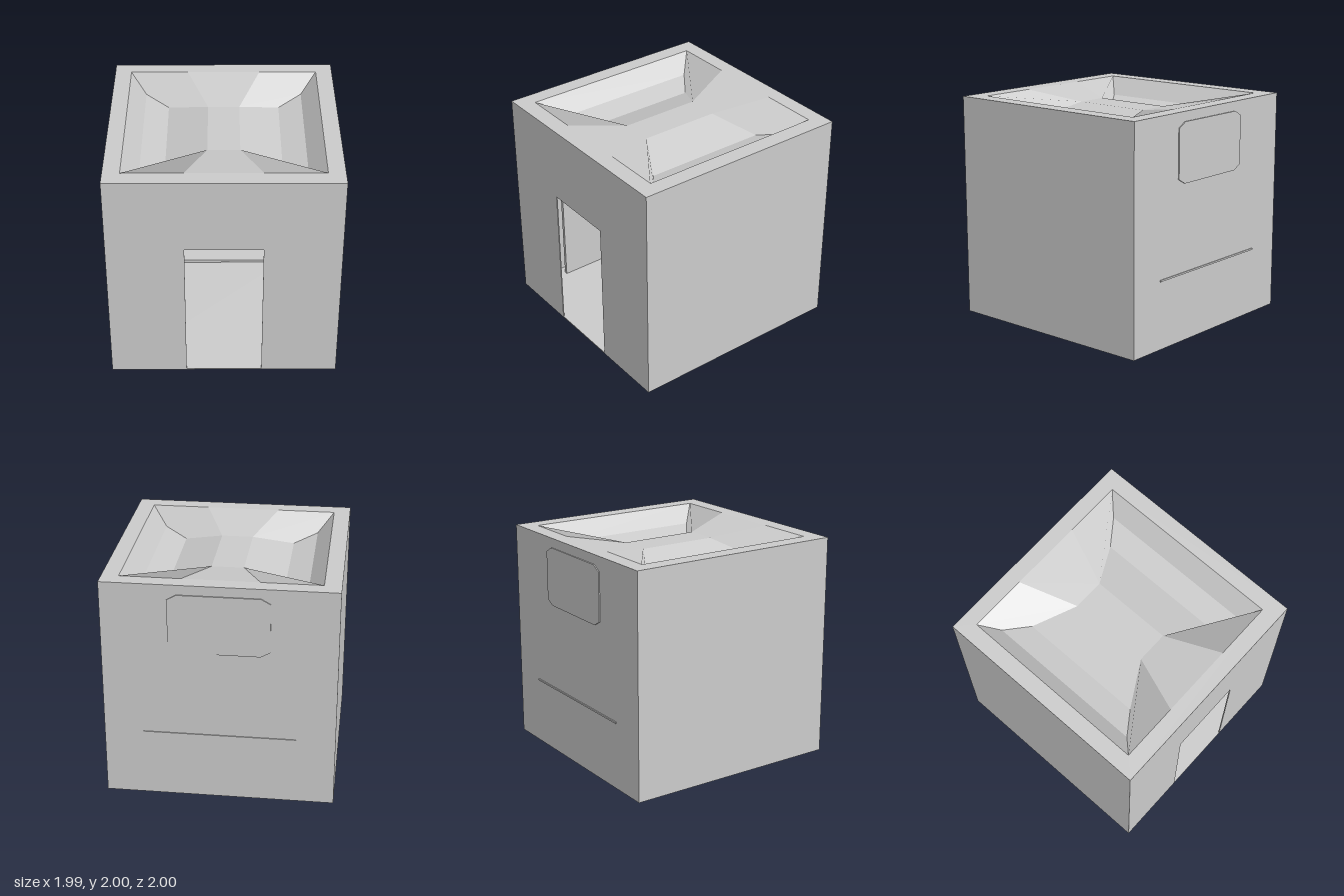
import * as THREE from 'three';

const mat = new THREE.MeshStandardMaterial({ color: 0xcccccc, flatShading: false });

function add(parent, name, geometry, x = 0, y = 0, z = 0) {
  const mesh = new THREE.Mesh(geometry, mat);
  mesh.name = name;
  mesh.position.set(x, y, z);
  parent.add(mesh);
  return mesh;
}

// Box given by its limits
function block(parent, name, [x0, x1], [y0, y1], [z0, z1]) {
  return add(parent, name, new THREE.BoxGeometry(x1 - x0, y1 - y0, z1 - z0),
    (x0 + x1) / 2, (y0 + y1) / 2, (z0 + z1) / 2);
}

function outline(points) {
  return new THREE.Shape(points.map(([x, y]) => new THREE.Vector2(x, y)));
}

function plate(shape, depth) {
  return new THREE.ExtrudeGeometry(shape, { depth, bevelEnabled: false, curveSegments: 10 });
}

// Upward-facing faceted surface; each facet is fanned from its first corner
function facets(polygons) {
  const position = [], normal = [];
  for (let poly of polygons) {
    const n = new THREE.Vector3();
    poly.forEach((a, i) => {
      const b = poly[(i + 1) % poly.length];
      n.add(new THREE.Vector3(...a).cross(new THREE.Vector3(...b)));
    });
    n.normalize();
    if (n.y < 0) {
      n.negate();
      poly = [poly[0], ...poly.slice(1).reverse()];
    }
    for (let i = 1; i < poly.length - 1; i++) {
      for (const p of [poly[0], poly[i], poly[i + 1]]) {
        position.push(...p);
        normal.push(n.x, n.y, n.z);
      }
    }
  }
  const g = new THREE.BufferGeometry();
  g.setAttribute('position', new THREE.Float32BufferAttribute(position, 3));
  g.setAttribute('normal', new THREE.Float32BufferAttribute(normal, 3));
  return g;
}

// Open-ended wrench standing upright, head centred at the origin
function wrench(r, length) {
  const w = r * 0.3, s = new THREE.Shape();
  s.moveTo(-w, -length);
  s.lineTo(w, -length);
  s.lineTo(w, -r * 1.6);
  s.absarc(0, 0, r, -0.9, 1.15, false);
  s.lineTo(r * 0.4, r * 0.35);
  s.absarc(0, 0, r * 0.53, 0.72, Math.PI - 0.72, true);
  s.lineTo(-r * 0.41, r * 0.91);
  s.absarc(0, 0, r, Math.PI - 1.15, Math.PI + 0.9, false);
  s.lineTo(-w, -r * 1.6);
  return plate(s, 0.012);
}

function createModel() {
  const model = new THREE.Group();
  const X = 0.997, BACK = -0.99, T = 0.01;

  // Shell: floor, side walls, back wall, front wall with doorway
  const shell = new THREE.Group();
  shell.name = 'shell';
  model.add(shell);
  block(shell, 'floor', [-X, X], [0, T], [BACK, 1]);
  for (const s of [-1, 1]) {
    block(shell, s > 0 ? 'leftWall' : 'rightWall',
      s > 0 ? [X - T, X] : [-X, -X + T], [0, 2], [BACK, 1]);
  }
  block(shell, 'backWall', [-X, X], [0, 2], [BACK, BACK + T]);
  const front = outline([
    [-X, 0], [-0.333, 0], [-0.333, 1.33], [0.333, 1.33],
    [0.333, 0], [X, 0], [X, 2], [-X, 2],
  ]);
  add(shell, 'frontWall', plate(front, T), 0, 0, 1 - T);
  block(shell, 'ceiling', [-X, X], [1.74, 1.75], [BACK, 1]);

  // Flat rim around the roof opening
  const rim = outline([[-X, -1], [X, -1], [X, -BACK], [-X, -BACK]]);
  rim.holes.push(outline([[-0.85, -0.85], [-0.85, 0.85], [0.85, 0.85], [0.85, -0.85]]));
  add(model, 'roofRim', new THREE.ShapeGeometry(rim), 0, 2, 0).rotation.x = -Math.PI / 2;

  // Sunken roof: profile across x as [x, y, half length]
  const profile = [[0.85, 2, 0.85], [0.71, 1.845, 0.71], [0.5, 1.79, 0.56], [0.14, 1.915, 0.36]];
  const roof = [];
  const strip = ([x0, y0, z0], [x1, y1, z1]) =>
    roof.push([[x0, y0, z0], [x0, y0, -z0], [x1, y1, -z1], [x1, y1, z1]]);
  for (const s of [-1, 1]) {
    const side = profile.map(([x, y, z]) => [s * x, y, z]);
    for (let i = 0; i < 3; i++) strip(side[i], side[i + 1]);
    for (const e of [-1, 1]) {
      const at = (i) => [side[i][0], side[i][1], e * side[i][2]];
      roof.push([at(3), [s * 0.33, 2, e * 0.85], at(0), at(1), at(2)]);
    }
  }
  strip([-0.14, 1.915, 0.36], [0.14, 1.915, 0.36]);
  for (const e of [-1, 1]) {
    roof.push([[-0.33, 2, e * 0.85], [0.33, 2, e * 0.85],
      [0.14, 1.915, e * 0.36], [-0.14, 1.915, e * 0.36]]);
  }
  add(model, 'sunkenRoof', facets(roof));

  // Chamfered plate on the back wall
  const sign = outline([
    [-0.35, 1.39], [0.35, 1.39], [0.43, 1.435], [0.43, 1.87],
    [0.35, 1.915], [-0.35, 1.915], [-0.43, 1.87], [-0.43, 1.435],
  ]);
  add(model, 'backPlate', plate(sign, 0.01), 0, 0, -1);

  // Workbench against the back wall; the edge of its top passes through
  const bench = new THREE.Group();
  bench.name = 'workbench';
  model.add(bench);
  block(bench, 'benchTop', [-0.66, 0.66], [0.575, 0.612], [BACK + T, -0.55]);
  block(bench, 'benchBackEdge', [-0.66, 0.66], [0.6, 0.615], [-0.998, BACK]);
  block(bench, 'benchShelf', [-0.66, 0.66], [0.02, 0.05], [BACK + T, -0.55]);
  block(bench, 'benchPanel', [-0.64, 0.64], [0.05, 0.575], [-0.9, -0.88]);
  for (const s of [-1, 1]) {
    add(bench, 'benchEnd', new THREE.BoxGeometry(0.03, 0.565, 0.42), s * 0.645, 0.2925, -0.77);
  }

  // Wrenches hung on the bench panel
  add(bench, 'smallWrench', wrench(0.026, 0.215), -0.29, 0.395, -0.88);
  add(bench, 'largeWrench', wrench(0.033, 0.275), -0.215, 0.43, -0.88);

  // Slanted panel standing by the side wall
  const panel = outline([[-0.6, 0.01], [-0.11, 0.01], [-0.11, 0.09], [0.015, 0.76], [0.1, 1.25], [-0.6, 1.25]]);
  const sidePanel = add(model, 'sidePanel', plate(panel, 0.03), -0.91, 0, 0);
  sidePanel.rotation.y = Math.PI / 2;

  return model;
}

export { createModel };
